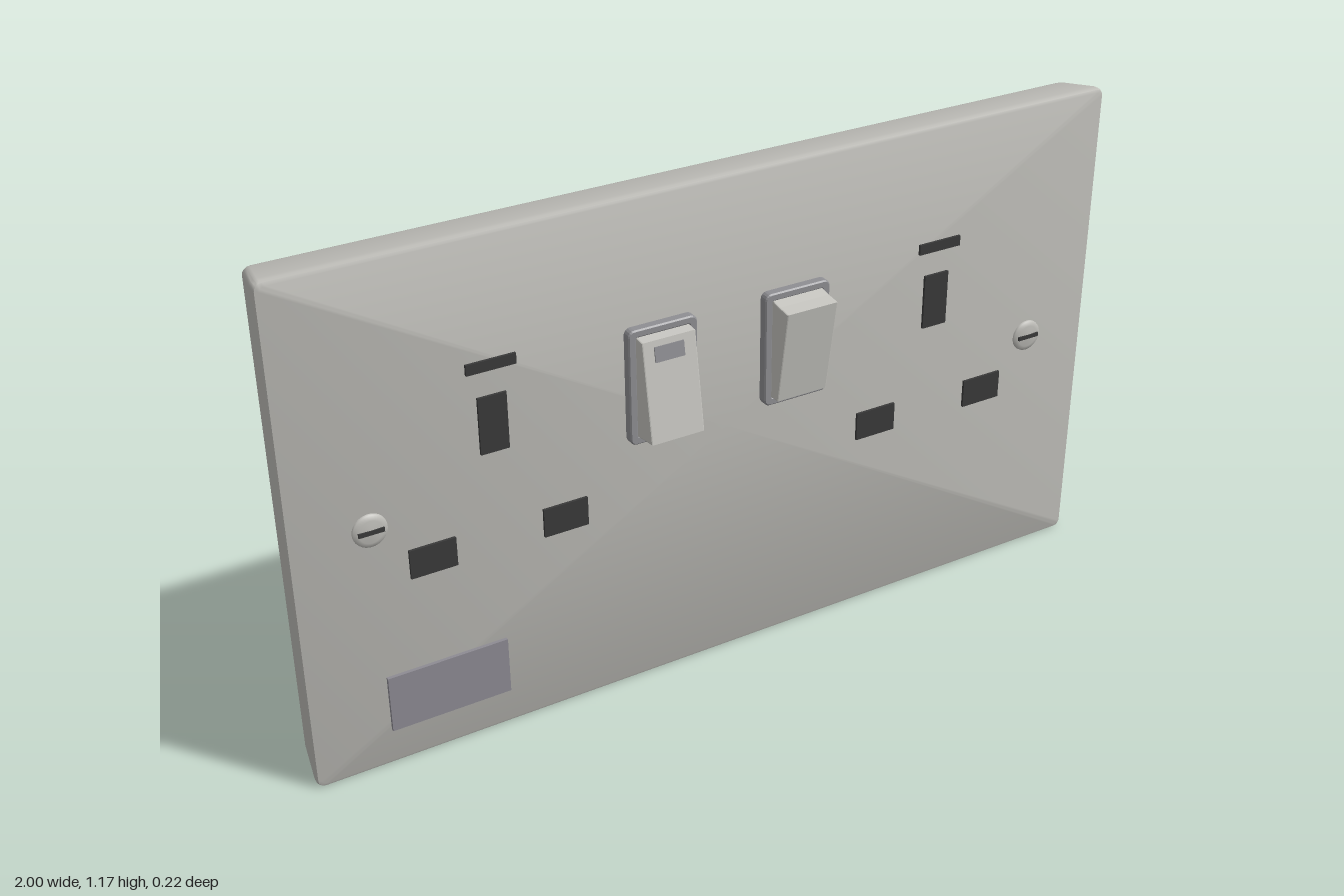
import * as THREE from 'three';
import { toCreasedNormals } from 'three/addons/utils/BufferGeometryUtils.js';

const H = 1.175, FRONT = 0.028;

function material(name, color) {
  const m = new THREE.MeshStandardMaterial({ color });
  m.name = name;
  return m;
}

// Counter-clockwise outline of a rounded rectangle centred on the origin
function roundedOutline(w, h, r, seg = 4) {
  const pts = [];
  [[1, 1], [-1, 1], [-1, -1], [1, -1]].forEach(([sx, sy], q) => {
    for (let i = 0; i <= seg; i++) {
      const a = (q + i / seg) * Math.PI / 2;
      pts.push(new THREE.Vector2(sx * (w / 2 - r) + r * Math.cos(a), sy * (h / 2 - r) + r * Math.sin(a)));
    }
  });
  return pts;
}

// Loft through rounded rectangles given as [z, inset], front to back
function plateGeometry(sections) {
  const pos = [], index = [];
  let n = 0;
  for (const [z, inset] of sections) {
    const loop = roundedOutline(2 - 2 * inset, H - 2 * inset, 0.016);
    n = loop.length;
    loop.forEach(p => pos.push(p.x, p.y, z));
  }
  const last = sections.length - 1;
  for (let s = 0; s < last; s++) {
    for (let i = 0; i < n; i++) {
      const j = (i + 1) % n;
      const a = s * n + i, b = s * n + j, c = b + n, d = a + n;
      index.push(a, d, b, b, d, c);
    }
  }
  // End caps
  const f = pos.length / 3, back = last * n;
  pos.push(0, 0, sections[0][0], 0, 0, sections[last][0]);
  for (let i = 0; i < n; i++) {
    const j = (i + 1) % n;
    index.push(f, i, j, f + 1, back + j, back + i);
  }
  const g = new THREE.BufferGeometry();
  g.setAttribute('position', new THREE.Float32BufferAttribute(pos, 3));
  g.setIndex(index);
  return toCreasedNormals(g, 0.6);
}

export function createModel() {
  const model = new THREE.Group();
  model.name = 'wallSocket';
  const plateMat = material('brushedSteel', 0xbebdb8);
  const rockerMat = material('rockerSteel', 0xc6c5c0);
  const bezelMat = material('greyPlastic', 0x8f8f93);
  const labelMat = material('labelGrey', 0x8d8b93);
  const darkMat = material('darkOpening', 0x3a3a3a);

  function add(parent, name, geometry, mat, x = 0, y = 0, z = 0) {
    const mesh = new THREE.Mesh(geometry, mat);
    mesh.name = name;
    mesh.position.set(x, y, z);
    parent.add(mesh);
    return mesh;
  }

  // Face plate with thin front rim and tapered, rounded back
  add(model, 'facePlate', plateGeometry([
    [FRONT, 0.008], [0.025, 0.002], [0.018, 0], [0.006, 0],
    [-0.086, 0.016], [-0.096, 0.02], [-0.104, 0.028], [-0.108, 0.042],
  ]), plateMat, 0, H / 2, 0);

  // Pin openings
  for (const s of [-1, 1]) {
    const side = s < 0 ? 'Right' : 'Left';
    const cx = s * 0.55;
    add(model, 'earthOpening' + side, new THREE.BoxGeometry(0.064, 0.13, 0.006), darkMat, cx, 0.757, FRONT + 0.003);
    add(model, 'markerSlit' + side, new THREE.BoxGeometry(0.11, 0.024, 0.006), darkMat, cx, 0.894, FRONT + 0.009);
    for (const px of [0.398, 0.702]) {
      add(model, 'pinOpening' + side, new THREE.BoxGeometry(0.104, 0.068, 0.006), darkMat, s * px, 0.484, FRONT + 0.003);
    }

    // Fixing screw with slot
    const screw = new THREE.Group();
    screw.name = 'screw' + side;
    screw.position.set(s * 0.83, 0.592, FRONT);
    const head = new THREE.LatheGeometry([
      new THREE.Vector2(0.038, 0), new THREE.Vector2(0.037, 0.005),
      new THREE.Vector2(0.026, 0.009), new THREE.Vector2(0, 0.011),
    ], 32);
    head.rotateX(Math.PI / 2);
    add(screw, 'screwHead', head, plateMat);
    add(screw, 'screwSlot', new THREE.BoxGeometry(0.056, 0.01, 0.006), darkMat, 0, 0, 0.0095);
    model.add(screw);
  }

  // Rating label
  add(model, 'label', new THREE.BoxGeometry(0.275, 0.136, 0.008), labelMat, -0.692, 0.163, 0.039);

  // Rocker switches, tilted opposite ways
  for (const s of [-1, 1]) {
    const sw = new THREE.Group();
    sw.name = s < 0 ? 'switchRight' : 'switchLeft';
    sw.position.set(s * 0.166, 0.755, 0);

    const frame = new THREE.Shape(roundedOutline(0.158, 0.264, 0.012));
    frame.holes.push(new THREE.Path(roundedOutline(0.132, 0.24, 0.006).reverse()));
    add(sw, 'bezel', new THREE.ExtrudeGeometry(frame, {
      depth: 0.018, bevelThickness: 0.003, bevelSize: 0.003, bevelSegments: 1,
    }), bezelMat, 0, 0, 0.03);
    add(sw, 'bezelFloor', new THREE.BoxGeometry(0.14, 0.246, 0.012), bezelMat, 0, 0, 0.034);

    // Side profile in z and y, extruded across x
    const profile = [[0.03, -0.118], [0.05, -0.118], [0.075, -0.113], [0.109, -0.109],
      [0.074, 0.115], [0.05, 0.117], [0.03, 0.117]];
    const shape = new THREE.Shape(profile.map(([z, y]) => new THREE.Vector2(z, -s * y)));
    const rocker = new THREE.ExtrudeGeometry(shape, {
      depth: 0.122, bevelThickness: 0.003, bevelSize: 0.003, bevelOffset: -0.003, bevelSegments: 2,
    });
    rocker.translate(0, 0, -0.061);
    rocker.rotateY(-Math.PI / 2);
    add(sw, 'rocker', rocker, rockerMat);

    // Indicator window on one rocker only
    if (s < 0) {
      const neon = add(sw, 'indicator', new THREE.BoxGeometry(0.07, 0.034, 0.006), bezelMat, -0.002, 0.084, 0.0785);
      neon.rotation.x = -0.155;
    }
    model.add(sw);
  }
  return model;
}
